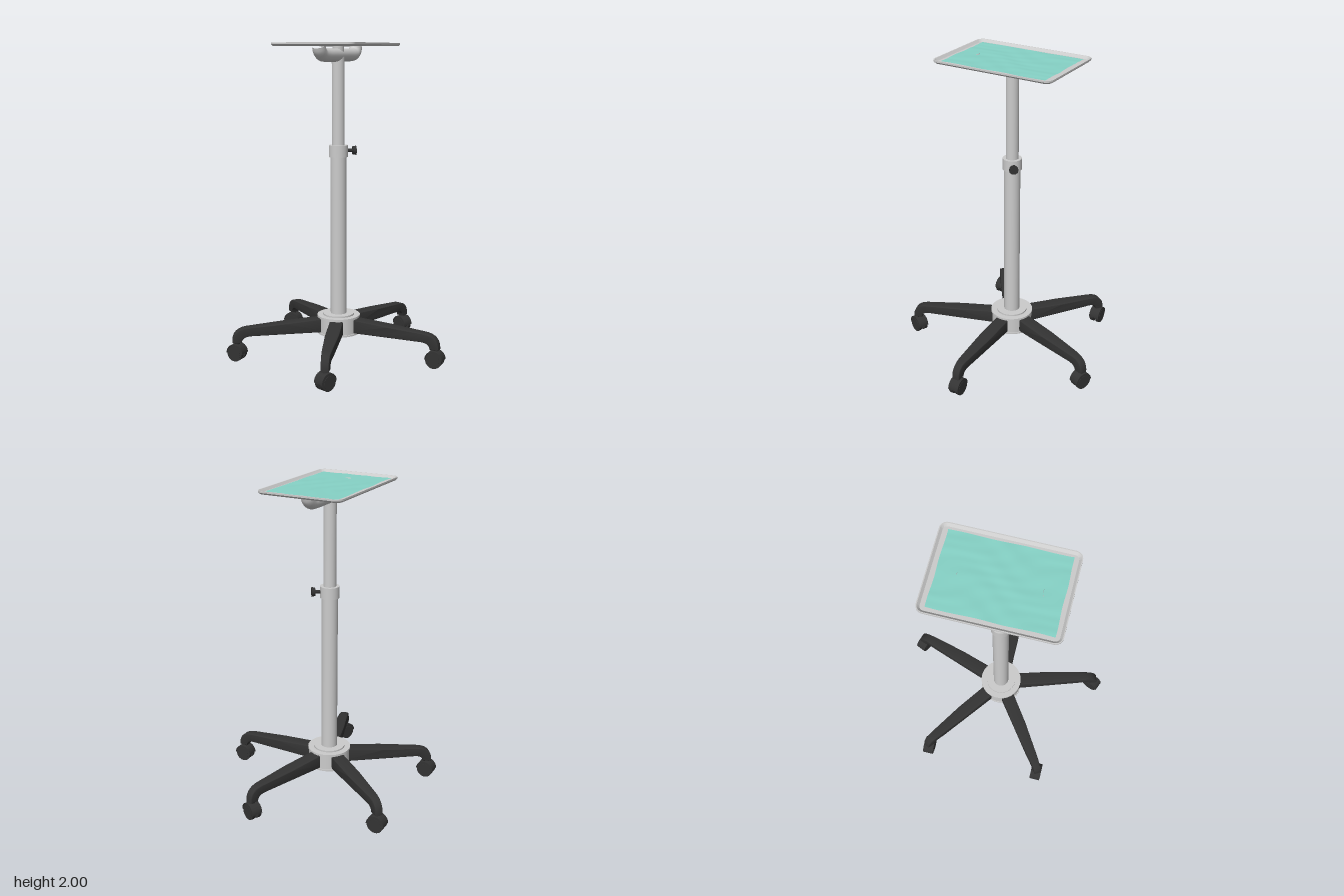
import * as THREE from 'three';
import { toCreasedNormals } from 'three/addons/utils/BufferGeometryUtils.js';

const CX = -0.065, CZ = -0.005; // column axis
const mat = (color, side = THREE.FrontSide) => new THREE.MeshStandardMaterial({ color, side });
const metal = mat(0xcccccc), dark = mat(0x333333), teal = mat(0x86d2c6, THREE.DoubleSide);

function add(parent, name, geometry, material, x = 0, y = 0, z = 0) {
  const mesh = new THREE.Mesh(geometry, material);
  mesh.name = name;
  mesh.position.set(x, y, z);
  parent.add(mesh);
  return mesh;
}

// Upright cylinder given by its bottom and top heights
function post(parent, name, r, y0, y1, material, sides = 40) {
  return add(parent, name, new THREE.CylinderGeometry(r, r, y1 - y0, sides), material, 0, (y0 + y1) / 2, 0);
}

// Rounded rectangle loop in the xz plane
function loop(hx, hz, r, y) {
  const pts = [], n = 6;
  [[1, 1], [-1, 1], [-1, -1], [1, -1]].forEach(([sx, sz], q) => {
    for (let i = 0; i <= n; i++) {
      const a = (q + i / n) * Math.PI / 2;
      pts.push([sx * (hx - r) + r * Math.cos(a), y, sz * (hz - r) + r * Math.sin(a)]);
    }
  });
  return pts;
}

function loft(rings) {
  const m = rings[0].length, index = [];
  for (let i = 0; i < rings.length - 1; i++)
    for (let j = 0; j < m; j++) {
      const a = i * m + j, b = i * m + (j + 1) % m;
      index.push(a, a + m, b, b, a + m, b + m);
    }
  const g = new THREE.BufferGeometry();
  g.setAttribute('position', new THREE.Float32BufferAttribute(rings.flat(2), 3));
  g.setIndex(index);
  return toCreasedNormals(g, 0.4);
}

// Shallow tray: underside, sloping outer wall, lip, inner wall, floor
function trayGeometry() {
  const hx = 0.272, hz = 0.397;
  const ring = (inset, y) => loop(hx - inset, hz - inset, 0.045 - inset, y);
  const centre = y => loop(0, 0, 0, y);
  return loft([centre(1.98), ring(0.01, 1.98), ring(0, 1.99), ring(0, 2), ring(0.006, 2),
    ring(0.02, 1.985), centre(1.985)]);
}

// Wrinkled cloth with slightly wavy edges
function clothGeometry() {
  const g = new THREE.PlaneGeometry(0.466, 0.7, 50, 70).rotateX(-Math.PI / 2);
  const p = g.attributes.position;
  for (let i = 0; i < p.count; i++) {
    const x = p.getX(i), z = p.getZ(i);
    const h = Math.sin(42 * x + 15 * z + 2 * Math.sin(11 * z)) * 0.5
      + Math.sin(75 * x - 20 * z + 2 * Math.sin(17 * x + 9 * z)) * 0.3
      + Math.sin(23 * z + 9 * x) * 0.2;
    p.setXYZ(i, x * (1 + 0.008 * Math.sin(19 * z)), 0.0016 * h, z * (1 + 0.006 * Math.sin(25 * x)));
  }
  g.computeVertexNormals();
  return g;
}

// Leg: side profile extruded across, then narrowed toward the toe
function legGeometry() {
  const s = new THREE.Shape();
  s.moveTo(0.08, 0.168);
  s.lineTo(0.56, 0.168);
  s.quadraticCurveTo(0.63, 0.168, 0.637, 0.125);
  s.lineTo(0.682, 0.125);
  s.quadraticCurveTo(0.682, 0.207, 0.59, 0.212);
  s.lineTo(0.35, 0.23);
  s.lineTo(0.08, 0.248);
  const g = new THREE.ExtrudeGeometry(s, {
    depth: 0.068, curveSegments: 12, bevelEnabled: true,
    bevelThickness: 0.009, bevelSize: 0.006, bevelSegments: 3,
  }).translate(0, 0, -0.034);
  const p = g.attributes.position;
  for (let i = 0; i < p.count; i++) {
    const t = THREE.MathUtils.smoothstep(p.getX(i), 0.42, 0.69);
    p.setZ(i, p.getZ(i) * (1 - 0.42 * t));
  }
  return toCreasedNormals(g, 0.5);
}

// Half-round hood, with or without a hollow
function hoodGeometry(outer, inner, width) {
  const s = new THREE.Shape();
  s.absarc(0, 0, outer, 0, Math.PI, false);
  if (inner) s.absarc(0, 0, inner, Math.PI, 0, true);
  const g = new THREE.ExtrudeGeometry(s, { depth: width, bevelEnabled: false, curveSegments: 20 });
  return toCreasedNormals(g.translate(0, 0, -width / 2), 0.5);
}

function caster() {
  const g = new THREE.Group();
  g.name = 'caster';
  const wheel = new THREE.CylinderGeometry(0.053, 0.053, 0.022, 28).rotateX(Math.PI / 2);
  const cap = new THREE.CylinderGeometry(0.04, 0.04, 0.026, 28).rotateX(Math.PI / 2);
  for (const s of [-1, 1]) {
    add(g, 'wheel', wheel, dark, 0, 0.055, s * 0.022);
    add(g, 'wheelCap', cap, dark, 0, 0.055, s * 0.022);
  }
  add(g, 'hood', hoodGeometry(0.058, 0.054, 0.07), dark, 0, 0.055, 0);
  add(g, 'hoodWeb', hoodGeometry(0.054, 0, 0.02), dark, 0, 0.055, 0);
  add(g, 'axle', new THREE.CylinderGeometry(0.01, 0.01, 0.06, 12).rotateX(Math.PI / 2), dark, 0, 0.055, 0);
  post(g, 'casterStem', 0.018, 0.1, 0.15, dark, 20);
  return g;
}

export function createModel() {
  const model = new THREE.Group();
  model.name = 'trayStand';
  const stand = new THREE.Group();
  stand.name = 'stand';
  stand.position.set(CX, 0, CZ);
  model.add(stand);

  // Hub and telescopic column
  post(stand, 'hub', 0.132, 0.157, 0.262, metal);
  post(stand, 'hubBottomPlate', 0.138, 0.15, 0.16, metal);
  post(stand, 'hubTopPlate', 0.138, 0.256, 0.268, metal);
  post(stand, 'hubRing', 0.1, 0.265, 0.278, metal);
  post(stand, 'lowerColumn', 0.051, 0.27, 1.3, metal);
  post(stand, 'collar', 0.06, 1.292, 1.366, metal);
  post(stand, 'upperColumn', 0.04, 1.3, 1.925, metal);
  post(stand, 'trayStem', 0.036, 1.92, 1.983, metal);

  // Clamp knob on the collar
  const knob = new THREE.Group();
  knob.name = 'clampKnob';
  knob.position.y = 1.331;
  knob.rotation.y = 0.62;
  stand.add(knob);
  add(knob, 'knobScrew', new THREE.CylinderGeometry(0.011, 0.011, 0.06, 16).rotateZ(Math.PI / 2), dark, 0.075, 0, 0);
  add(knob, 'knobGrip', new THREE.CylinderGeometry(0.03, 0.026, 0.022, 10).rotateZ(-Math.PI / 2), dark, 0.102, 0, 0);

  // Curved support tube under the tray
  const half = [[0.272, 1.979], [0.262, 1.953], [0.235, 1.932], [0.19, 1.926], [0.09, 1.925]];
  const path = new THREE.CatmullRomCurve3([
    ...half.map(([z, y]) => new THREE.Vector3(0, y, -z)),
    ...half.slice().reverse().map(([z, y]) => new THREE.Vector3(0, y, z)),
  ]);
  add(stand, 'traySupport', new THREE.TubeGeometry(path, 60, 0.041, 24), metal);

  // Tray and cloth
  add(stand, 'tray', trayGeometry(), metal);
  add(stand, 'cloth', clothGeometry(), teal, 0.002, 1.99, 0.002);

  // Five legs, each on a swivelled caster
  const leg = legGeometry();
  const swivel = [0, -0.42, 0, 0, 1.19];
  swivel.forEach((turn, i) => {
    const a = i * Math.PI * 2 / 5;
    add(stand, 'leg', leg, dark).rotation.y = a;
    const c = caster();
    c.position.set(0.66 * Math.cos(a), 0, -0.66 * Math.sin(a));
    c.rotation.y = turn;
    stand.add(c);
  });
  return model;
}
